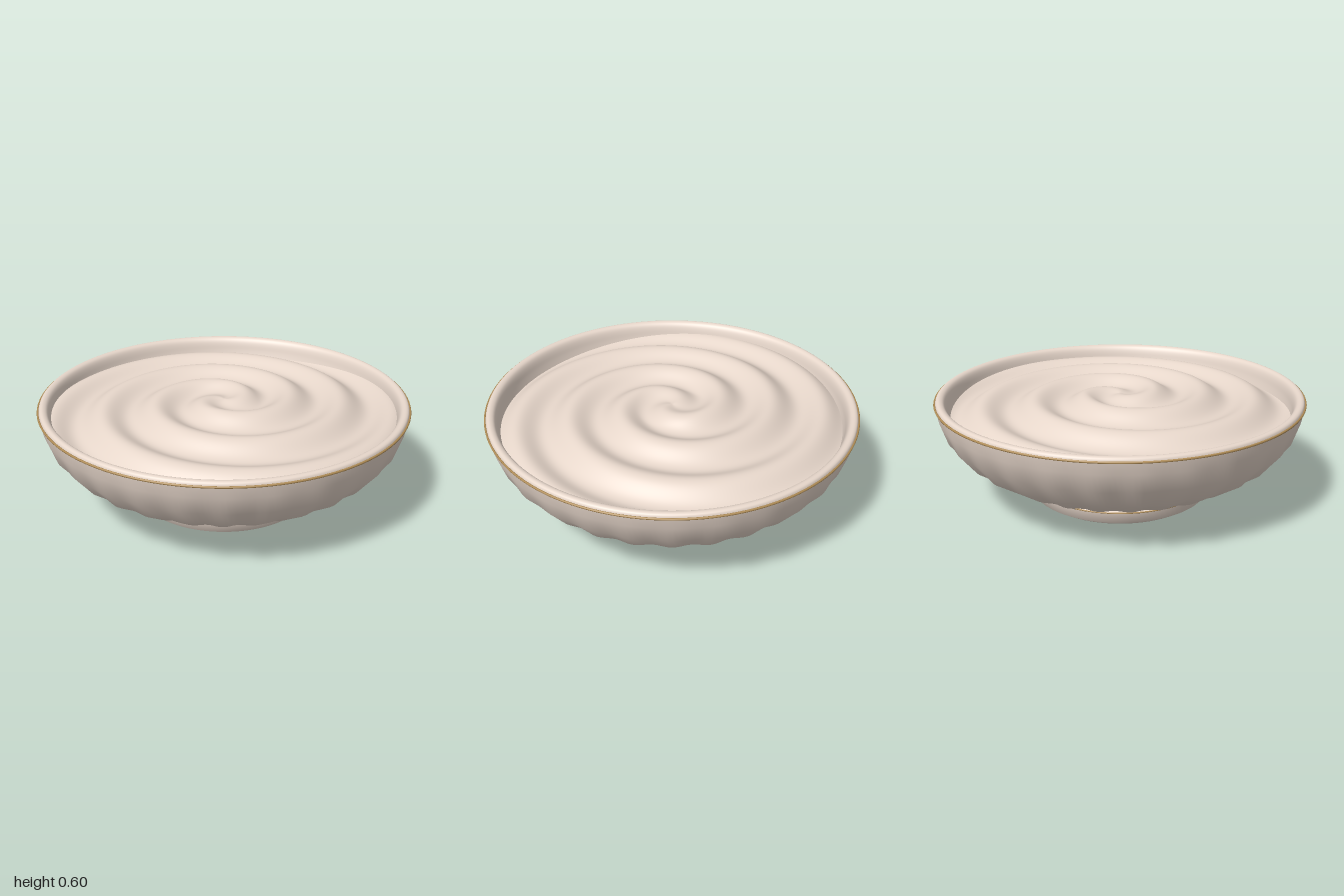
import * as THREE from 'three';
import { mergeVertices } from 'three/addons/utils/BufferGeometryUtils.js';

const porcelain = new THREE.MeshStandardMaterial({ color: 0xe6d6ca });
porcelain.name = 'porcelain';
const gold = new THREE.MeshStandardMaterial({ color: 0xb08d57 });
gold.name = 'gold';

// Revolve a profile, move each vertex by a rule, and smooth across the seam
function turned(name, profile, segments, rule) {
  let geo = new THREE.LatheGeometry(profile.map(([r, y]) => new THREE.Vector2(r, y)), segments);
  if (rule) {
    const p = geo.attributes.position;
    for (let i = 0; i < p.count; i++) {
      const x = p.getX(i), z = p.getZ(i);
      const [r, y] = rule(Math.hypot(x, z), p.getY(i), Math.atan2(z, x));
      const k = r / (Math.hypot(x, z) || 1);
      p.setXYZ(i, x * k, y, z * k);
    }
  }
  geo.deleteAttribute('uv');
  geo.deleteAttribute('normal');
  geo = mergeVertices(geo, 1e-5);
  geo.computeVertexNormals();
  const mesh = new THREE.Mesh(geo, porcelain);
  mesh.name = name;
  return mesh;
}

// Thin gilded line running around the bowl
function gildedLine(name, radius, y, thickness) {
  const mesh = new THREE.Mesh(new THREE.TorusGeometry(radius, thickness, 8, 128), gold);
  mesh.name = name;
  mesh.rotation.x = Math.PI / 2;
  mesh.position.y = y;
  return mesh;
}

// Smooth curve through a few profile points
function smooth(points, n) {
  const curve = new THREE.SplineCurve(points.map(([r, y]) => new THREE.Vector2(r, y)));
  return curve.getPoints(n).map((v) => [v.x, v.y]);
}

// Nearly upright flutes, deepest low on the wall and fading towards the rim
function flutes(r, y, phi) {
  const t = THREE.MathUtils.clamp((y - 0.12) / 0.38, 0, 1);
  const depth = 0.01 * Math.sin(Math.PI * Math.sqrt(t));
  return [r + depth * Math.cos(28 * (phi + 0.06 * t)), y];
}

// Two-armed spiral ridges over a shallow dome
function swirl(r, y, phi) {
  const wave = Math.cos(2 * Math.PI * (r - 0.555) / 0.285 + 2 * (phi - Math.PI / 2));
  return [r, 0.574 - 0.085 * r * r + 0.027 * Math.min(1, r / 0.2) * wave];
}

export function createModel() {
  const bowl = new THREE.Group();
  bowl.name = 'bowl';

  // Foot: flat base turning up into a rounded side
  bowl.add(turned('foot', [[0, 0.002], [0.44, 0], [0.482, 0.025], [0.494, 0.085]], 96));
  bowl.add(gildedLine('footBand', 0.493, 0.084, 0.004));

  // Foot shoulder, neck and fluted outer wall
  const wall = [[0.494, 0.085], [0.455, 0.113], [0.48, 0.132], [0.54, 0.152], [0.7, 0.19],
    [0.84, 0.28], [0.94, 0.395], [0.98, 0.5], [0.992, 0.565]];
  bowl.add(turned('outerWall', wall, 224, flutes));

  // Rounded rim running down into the inner wall
  const rim = [[0.992, 0.565], [0.986, 0.582], [0.971, 0.589], [0.953, 0.584],
    [0.941, 0.57], [0.932, 0.545], [0.922, 0.5], [0.895, 0.41]];
  bowl.add(turned('rim', smooth(rim, 24), 128));
  bowl.add(gildedLine('rimBand', 0.994, 0.567, 0.006));

  // Swirled filling
  const rings = Array.from({ length: 73 }, (_, i) => [0.935 * (1 - i / 72), 0.5]);
  bowl.add(turned('swirlFilling', rings, 128, swirl));

  return bowl;
}
